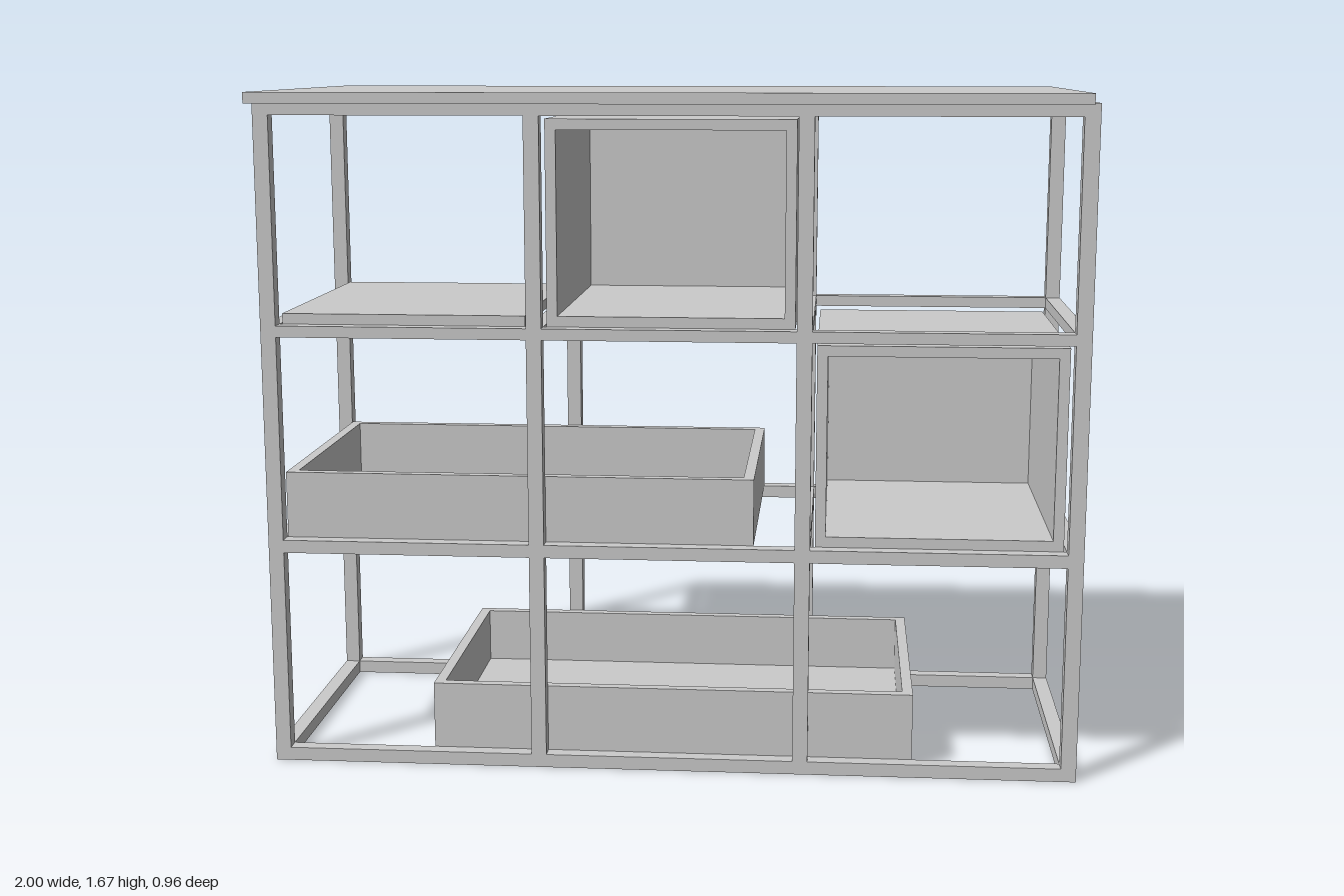
import * as THREE from 'three';

const material = new THREE.MeshStandardMaterial({ color: 0xcccccc });

// Box given by its min and max on each axis
function slab(parent, name, [x0, x1], [y0, y1], [z0, z1]) {
  const mesh = new THREE.Mesh(new THREE.BoxGeometry(x1 - x0, y1 - y0, z1 - z0), material);
  mesh.position.set((x0 + x1) / 2, (y0 + y1) / 2, (z0 + z1) / 2);
  mesh.name = name;
  parent.add(mesh);
}

function part(parent, name) {
  const group = new THREE.Group();
  group.name = name;
  parent.add(group);
  return group;
}

const BAR = 0.0375;
const FRONT = 0.28, BACK = -0.482, TOP = 1.647;
const INNER = [BACK + BAR, FRONT - BAR]; // depth between the front and back posts
const POSTS = [-1, -0.348, 0.304, 1 - BAR]; // left edge of each post
const LEVELS = [[0, 0.033], [0.54, 0.572], [1.08, 1.108], [1.615, TOP]];

// Grid of posts, long rails and depth rails
function addFrame(parent) {
  const frame = part(parent, 'frame');
  for (const z of [[BACK, INNER[0]], [INNER[1], FRONT]]) {
    for (const x of POSTS) slab(frame, 'post', [x, x + BAR], [0, TOP], z);
    for (const level of LEVELS) {
      for (let i = 0; i < 3; i++) slab(frame, 'longRail', [POSTS[i] + BAR, POSTS[i + 1]], level, z);
    }
  }
  for (const x of POSTS) {
    for (const level of LEVELS) slab(frame, 'depthRail', [x, x + BAR], level, INNER);
  }
}

// Storage cube open to the front
function addCube(parent, name, [x0, x1], [y0, y1]) {
  const cube = part(parent, name), t = 0.026, [z0, z1] = INNER;
  slab(cube, 'cubeBack', [x0, x1], [y0, y1], [z0, z0 + t]);
  for (const x of [x0, x1 - t]) slab(cube, 'cubeSide', [x, x + t], [y0, y1], [z0 + t, z1]);
  for (const y of [y0, y1 - t]) slab(cube, 'cubePanel', [x0 + t, x1 - t], [y, y + t], [z0 + t, z1]);
}

// Shallow tray open at the top
function addTray(parent, name, [x0, x1], [y0, y1]) {
  const tray = part(parent, name), t = 0.026, [z0, z1] = INNER;
  slab(tray, 'trayFloor', [x0, x1], [y0, y0 + t], [z0, z1]);
  for (const x of [x0, x1 - t]) slab(tray, 'trayEnd', [x, x + t], [y0 + t, y1], [z0, z1]);
  for (const z of [z0, z1 - t]) slab(tray, 'traySide', [x0 + t, x1 - t], [y0 + t, y1], [z, z + t]);
}

export function createModel() {
  const model = new THREE.Group();
  model.name = 'shelvingUnit';
  addFrame(model);
  slab(model, 'topPanel', [-0.96, 0.96], [TOP, 1.673], [BACK, 0.482]);
  slab(model, 'shelf', [-0.955, -0.355], [1.108, 1.134], INNER);
  addCube(model, 'upperCube', [-0.302, 0.3], [1.108, 1.607]);
  addCube(model, 'sideCube', [0.353, 0.955], [0.572, 1.07]);
  addTray(model, 'middleTray', [-0.96, 0.203], [0.572, 0.737]);
  addTray(model, 'lowerTray', [-0.6, 0.6], [0.033, 0.2]);
  return model;
}
